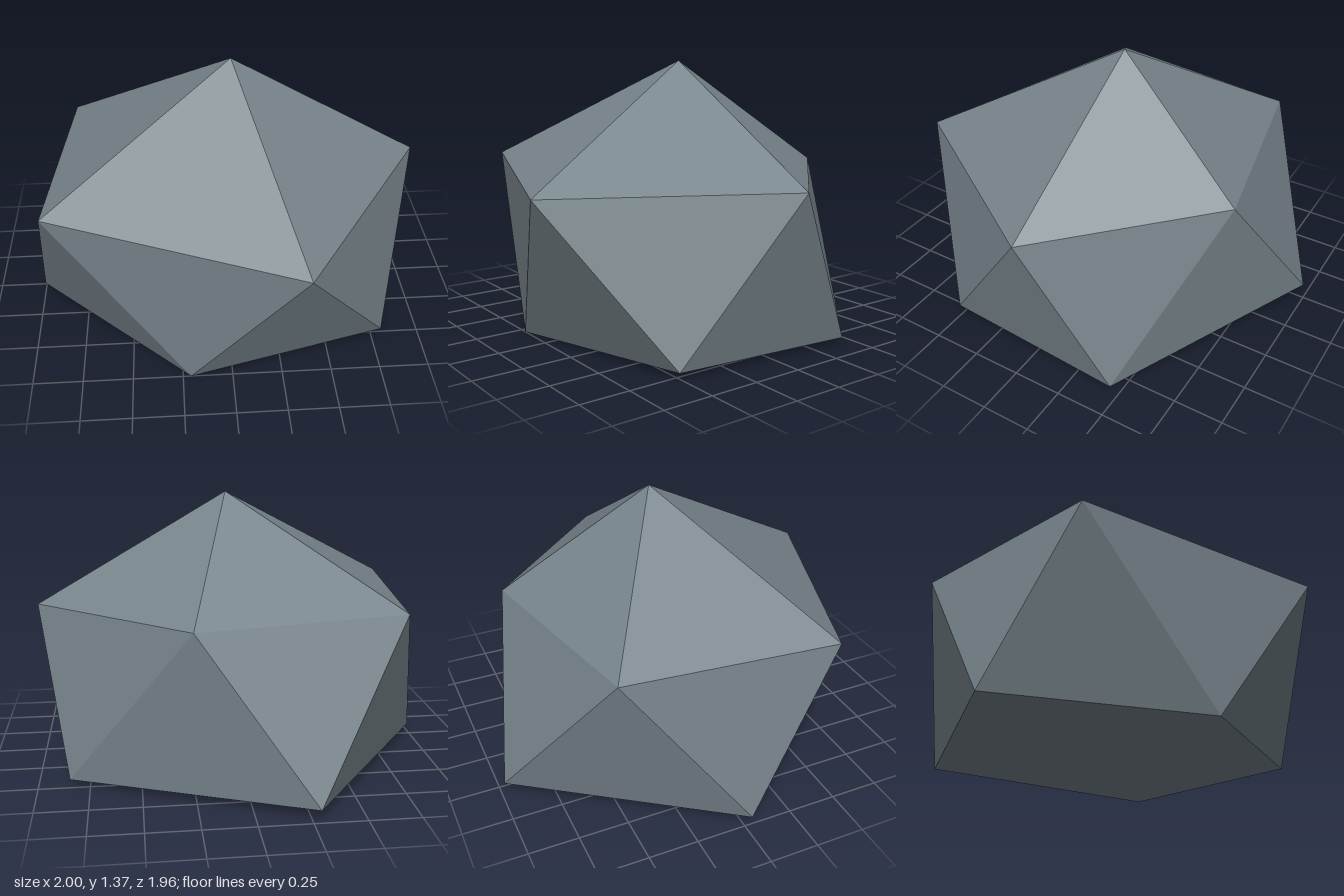
import * as THREE from 'three';

// Two five-point rings, listed anticlockwise from above, closed by a peak and a base point
const peak = [0.04, 1.37, -0.04];
const base = [0.04, 0, -0.04];
const upper = [[0.33, 0.79, 0.98], [1.0, 0.81, -0.04], [0.26, 0.83, -0.77], [-0.79, 0.83, -0.55], [-0.9, 0.84, 0.52]];
const lower = [[0.8, 0.04, 0.52], [0.85, 0.02, -0.45], [-0.29, 0.05, -0.98], [-1.0, 0.04, 0.04], [-0.21, 0, 0.75]];

function rockGeometry() {
  const corners = [];
  const face = (a, b, c) => corners.push(...a, ...b, ...c);
  for (let i = 0; i < 5; i++) {
    const j = (i + 1) % 5;
    face(peak, upper[i], upper[j]);       // cap
    face(upper[i], lower[i], upper[j]);   // side, pointing down
    face(lower[i], lower[j], upper[j]);   // side, pointing up
    face(base, lower[j], lower[i]);       // underside
  }
  const geometry = new THREE.BufferGeometry();
  geometry.setAttribute('position', new THREE.Float32BufferAttribute(corners, 3));
  geometry.computeVertexNormals(); // unshared corners give flat facets
  return geometry;
}

export function createModel() {
  const stone = new THREE.MeshStandardMaterial({ color: 0x76838a });
  stone.name = 'slateStone';

  const rock = new THREE.Mesh(rockGeometry(), stone);
  rock.name = 'rock';

  const model = new THREE.Group();
  model.name = 'boulder';
  model.add(rock);
  return model;
}
